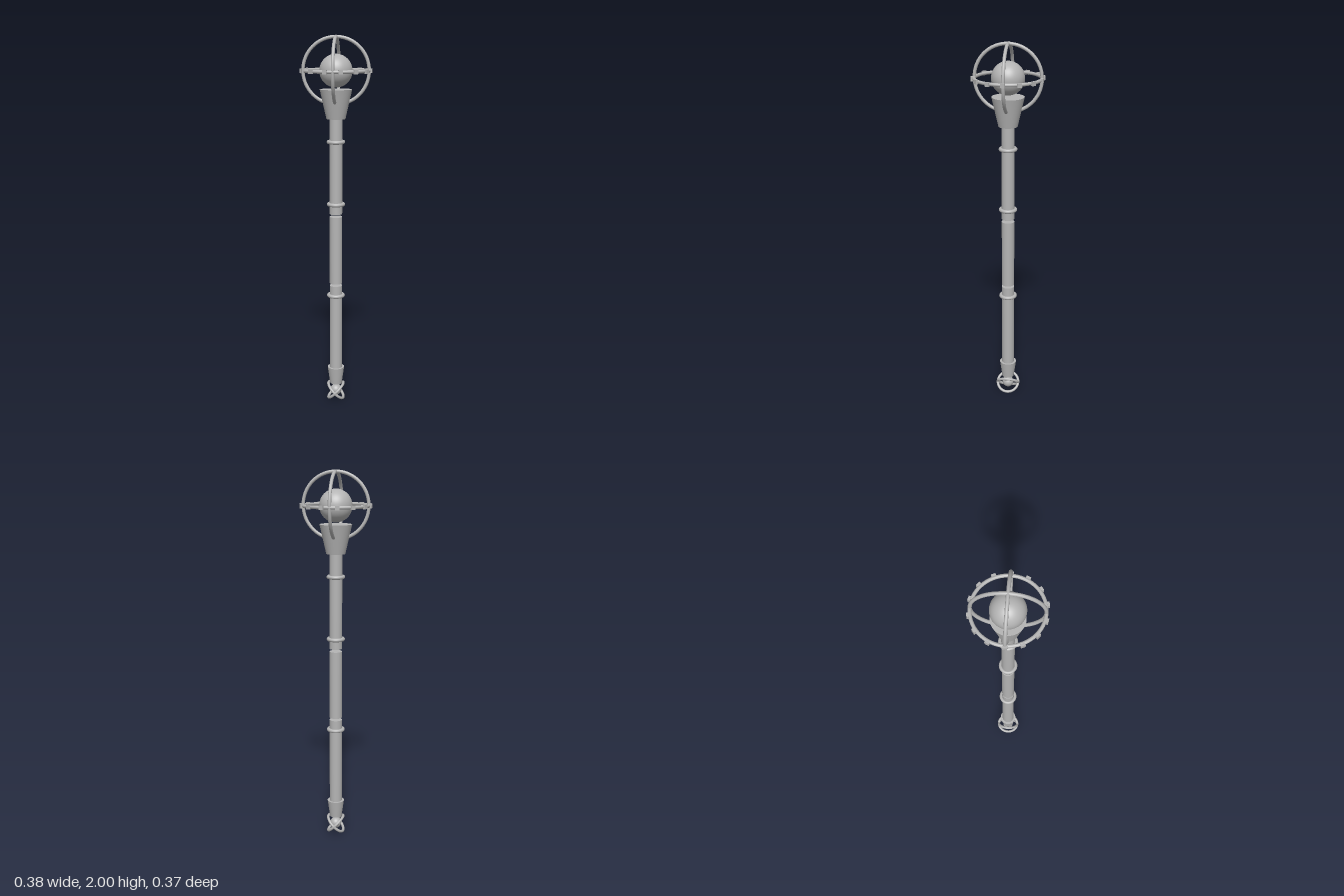
import * as THREE from 'three';

export function createModel() {
  const group = new THREE.Group();
  const metal = new THREE.MeshStandardMaterial({ color: 0xb4b4b4 });
  metal.name = 'grey metal';

  const add = (name, geometry, y, parent = group) => {
    const mesh = new THREE.Mesh(geometry, metal);
    mesh.name = name;
    mesh.position.y = y;
    parent.add(mesh);
    return mesh;
  };
  // Tapered round section between two heights
  const section = (name, y0, y1, r0, r1) =>
    add(name, new THREE.CylinderGeometry(r1, r0, y1 - y0, 32), (y0 + y1) / 2);
  const ring = (name, radius, tube, y, parent) =>
    add(name, new THREE.TorusGeometry(radius, tube, 12, 64), y, parent);

  // Staff in three lengths with narrow gaps between them
  section('lowerShaft', 0.12, 0.664, 0.034, 0.034);
  section('middleGrip', 0.677, 1.048, 0.034, 0.034);
  section('upperShaft', 1.063, 1.6, 0.034, 0.034);
  for (const y of [0.608, 1.116, 1.45]) {
    ring('shaftBand', 0.039, 0.01, y).rotation.x = Math.PI / 2;
  }

  // Flared sockets at both ends
  section('headSocket', 1.571, 1.724, 0.05, 0.085);
  section('footSocket', 0.095, 0.19, 0.033, 0.046);

  // Orb inside a cage of three rings
  const headY = 1.819;
  add('headOrb', new THREE.SphereGeometry(0.086, 48, 32), headY);
  ring('cageRingFront', 0.172, 0.009, headY);
  ring('cageRingSide', 0.172, 0.009, headY).rotation.y = Math.PI / 2;
  ring('cageRingLevel', 0.172, 0.009, headY).rotation.x = Math.PI / 2;

  // Studs spaced around the level ring
  const studs = new THREE.Group();
  studs.name = 'ringStuds';
  group.add(studs);
  for (let i = 0; i < 14; i++) {
    const a = (i / 14) * Math.PI * 2;
    const stud = add('stud', new THREE.BoxGeometry(0.012, 0.022, 0.022), headY, studs);
    stud.position.x = Math.cos(a) * 0.182;
    stud.position.z = -Math.sin(a) * 0.182;
    stud.rotation.y = a;
  }

  // Small foot orb with two crossed rings
  const footY = 0.0495;
  add('footOrb', new THREE.SphereGeometry(0.031, 32, 20), footY + 0.003);
  for (const side of [-1, 1]) {
    ring('footRing', 0.059, 0.0075, footY).rotation.y = Math.PI / 2;
    const foot = group.children[group.children.length - 1];
    foot.rotation.set(0, Math.PI / 2, side * Math.PI / 4, 'ZYX');
  }
  return group;
}
